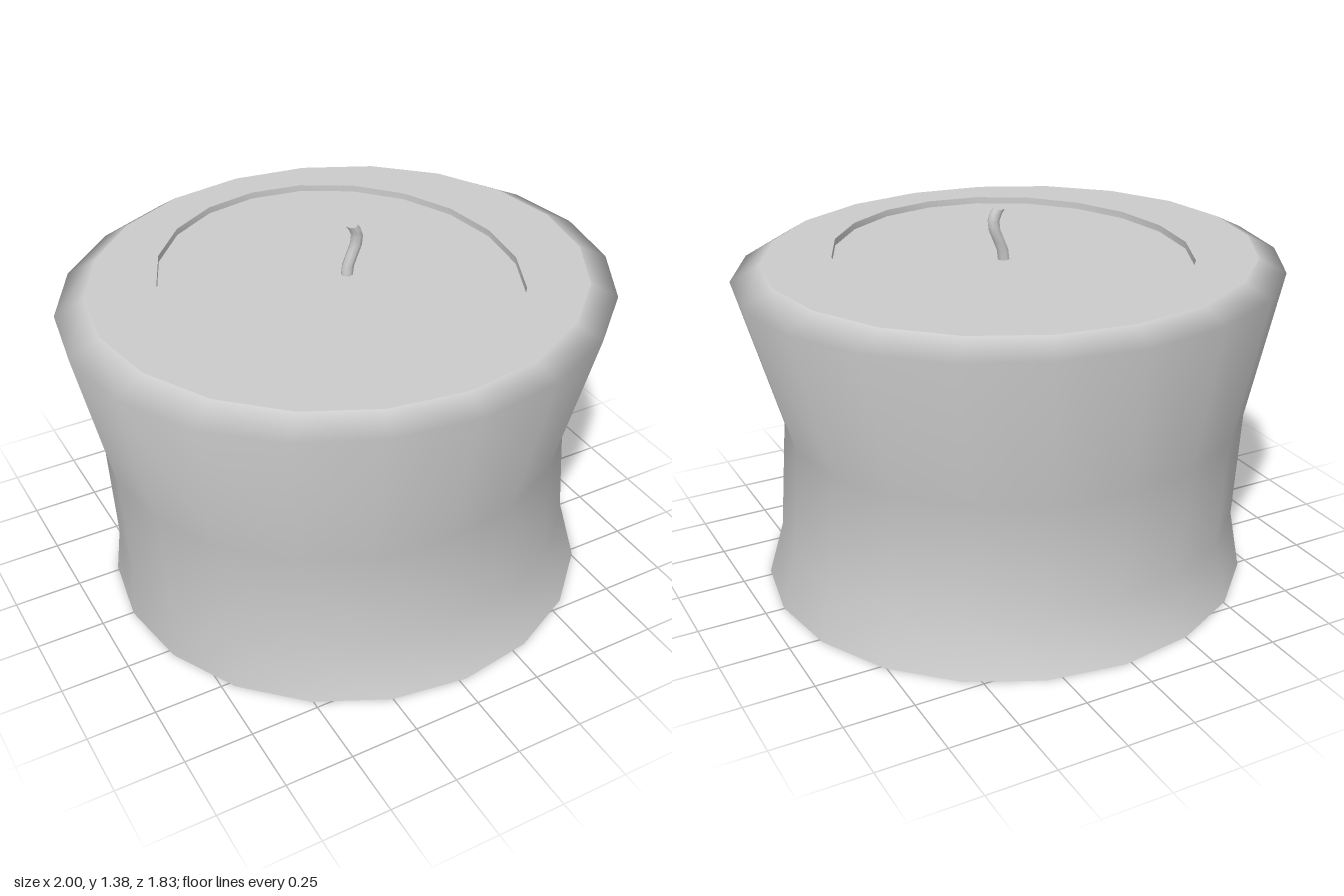
import * as THREE from 'three';

// Skin through elliptical rings [y, centreX, centreZ, radiusX, radiusZ], smooth within one loft
function loft(rings, sides) {
  const pos = [], index = [];
  rings.forEach(([y, cx, cz, rx, rz], r) => {
    for (let i = 0; i < sides; i++) {
      const a = (i / sides) * Math.PI * 2;
      pos.push(cx + rx * Math.cos(a), y, cz + rz * Math.sin(a));
      if (r === 0) continue;
      const j = (i + 1) % sides;
      const low = (r - 1) * sides, up = r * sides;
      index.push(low + i, up + i, up + j, low + i, up + j, low + j);
    }
  });
  const g = new THREE.BufferGeometry();
  g.setAttribute('position', new THREE.Float32BufferAttribute(pos, 3));
  g.setIndex(index);
  g.computeVertexNormals();
  return g;
}

// Same ring shrunk to its centre, for closing flat ends
const centreOf = ([y, cx, cz]) => [y, cx, cz, 0, 0];

export function createModel() {
  const model = new THREE.Group();
  model.name = 'candle';
  const wax = new THREE.MeshStandardMaterial({ color: 0xcccccc });
  wax.name = 'pale grey wax';

  const add = (name, rings, sides) => {
    const mesh = new THREE.Mesh(loft(rings, sides), wax);
    mesh.name = name;
    model.add(mesh);
  };

  // Waisted, slightly uneven body with a bevelled shoulder
  const SIDES = 20;
  const base = [0, 0.025, 0.005, 0.905, 0.88];
  const rim = [1.22, 0, 0, 0.89, 0.84];
  add('body', [
    base,
    [0.2, 0.005, 0.01, 0.87, 0.797],
    [0.61, -0.02, 0.003, 0.862, 0.805],
    [1.165, 0, 0, 1, 0.917],
    rim,
  ], SIDES);
  add('bottom', [centreOf(base), base], SIDES);

  // Flat top with a shallow oval pool
  const poolEdge = [1.22, 0, 0, 0.63, 0.7];
  const poolFloor = [1.195, 0, 0, 0.63, 0.7];
  add('topRim', [rim, poolEdge], SIDES);
  add('poolWall', [poolEdge, poolFloor], SIDES);
  add('poolFloor', [poolFloor, centreOf(poolFloor)], SIDES);

  // Wavy wick, a little off centre
  const wick = [[1.19, 0.037], [1.23, 0.042], [1.27, 0.058], [1.305, 0.073], [1.34, 0.077], [1.365, 0.068], [1.382, 0.056]]
    .map(([y, x]) => [y, x, -0.012, 0.022, 0.021]);
  const tip = wick[wick.length - 1];
  add('wick', wick, 8);
  add('wickTip', [tip, centreOf(tip)], 8);

  return model;
}
